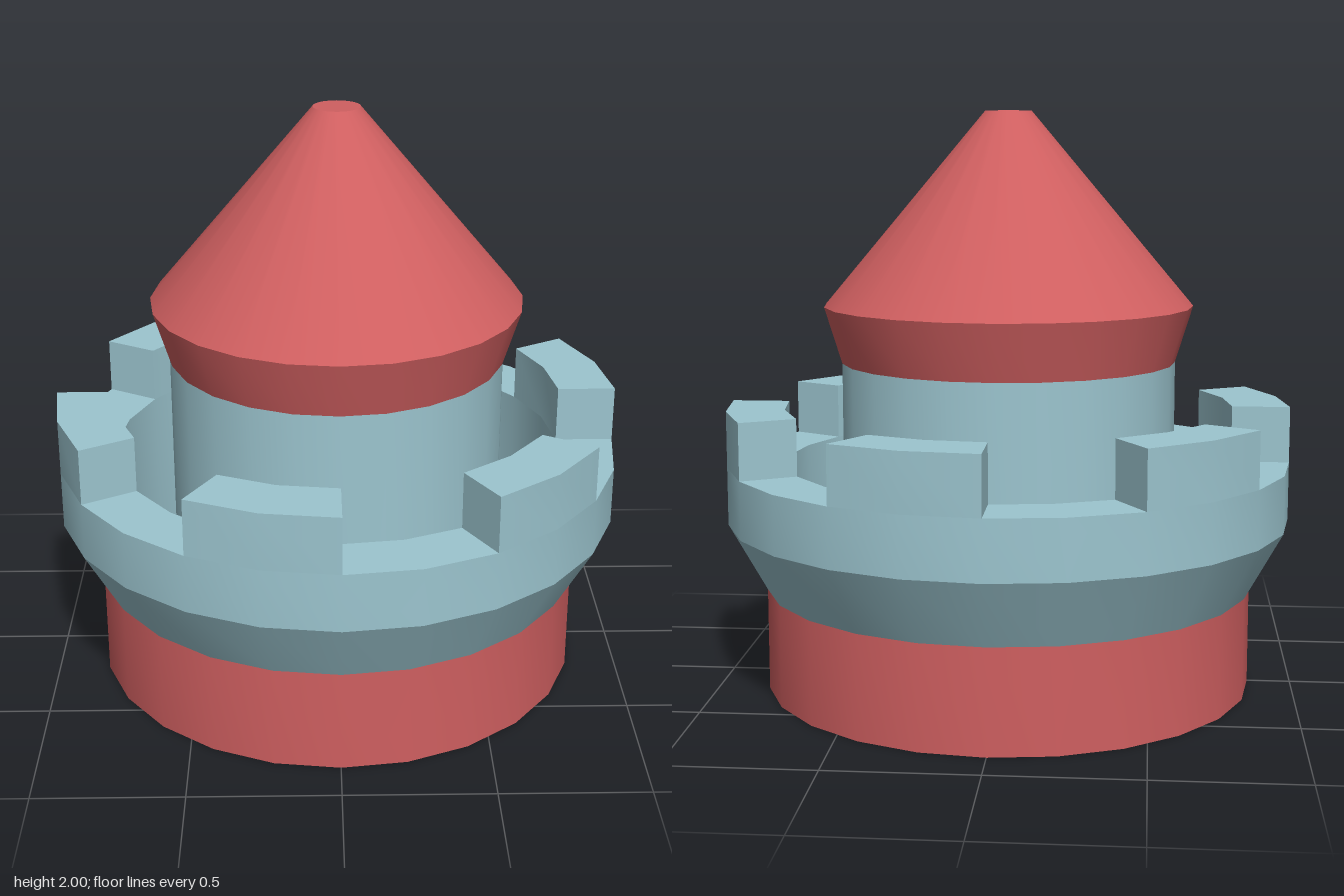
import * as THREE from 'three';
import { toCreasedNormals } from 'three/addons/utils/BufferGeometryUtils.js';

const SIDES = 24;
const OUTER = 0.98, INNER = 0.78, SILL = 0.79, TOP = 0.985;

const red = new THREE.MeshStandardMaterial({ color: 0xcf5f60 });
const blue = new THREE.MeshStandardMaterial({ color: 0x9cc5cf });
const darkBlue = new THREE.MeshStandardMaterial({ color: 0x708e95 });

function add(parent, name, geometry, material) {
  const mesh = new THREE.Mesh(toCreasedNormals(geometry, 0.4), material);
  mesh.name = name;
  parent.add(mesh);
  return mesh;
}

// Turned part from [radius, height] pairs, listed upwards on the outside
function turned(profile) {
  return new THREE.LatheGeometry(profile.map(([r, y]) => new THREE.Vector2(r, y)), SIDES);
}

// Block following the ring between two angles measured from the front
function ringBlock(start, end, height) {
  const steps = 2, points = [];
  for (const [r, from, to] of [[OUTER, start, end], [INNER, end, start]]) {
    for (let i = 0; i <= steps; i++) {
      const a = from + (to - from) * i / steps;
      points.push(new THREE.Vector2(r * Math.sin(a), -r * Math.cos(a)));
    }
  }
  const geometry = new THREE.ExtrudeGeometry(new THREE.Shape(points), { depth: height, bevelEnabled: false });
  return geometry.rotateX(-Math.PI / 2);
}

export function createModel() {
  const model = new THREE.Group();
  model.name = 'tower';

  // Base wall and its underside
  add(model, 'base', turned([[0.85, 0], [0.85, 0.355]]), red);
  add(model, 'underside', turned([[0, 0], [0.85, 0]]), blue);

  // Flared parapet, its sill and the inner wall down to the floor
  add(model, 'parapet', turned([
    [0.85, 0.355], [OUTER, 0.59], [OUTER, SILL], [INNER, SILL], [INNER, 0.01],
  ]), blue);
  add(model, 'innerFloor', turned([[INNER, 0.01], [0.57, 0.01]]), darkBlue);

  // Six merlons, each as wide as the gap beside it
  const merlons = new THREE.Group();
  merlons.name = 'merlons';
  model.add(merlons);
  const step = Math.PI / 6;
  for (let i = 0; i < 6; i++) {
    const start = (2 * i + 1) * step;
    add(merlons, 'merlon', ringBlock(start, start + step, TOP - SILL), blue).position.y = SILL;
  }

  // Central turret and its roof
  add(model, 'turret', turned([[0.58, 0.01], [0.58, 1.14]]), blue);
  add(model, 'roof', turned([[0, 1.14], [0.58, 1.14], [0.64, 1.335], [0.08, 2], [0, 2]]), red);

  return model;
}
